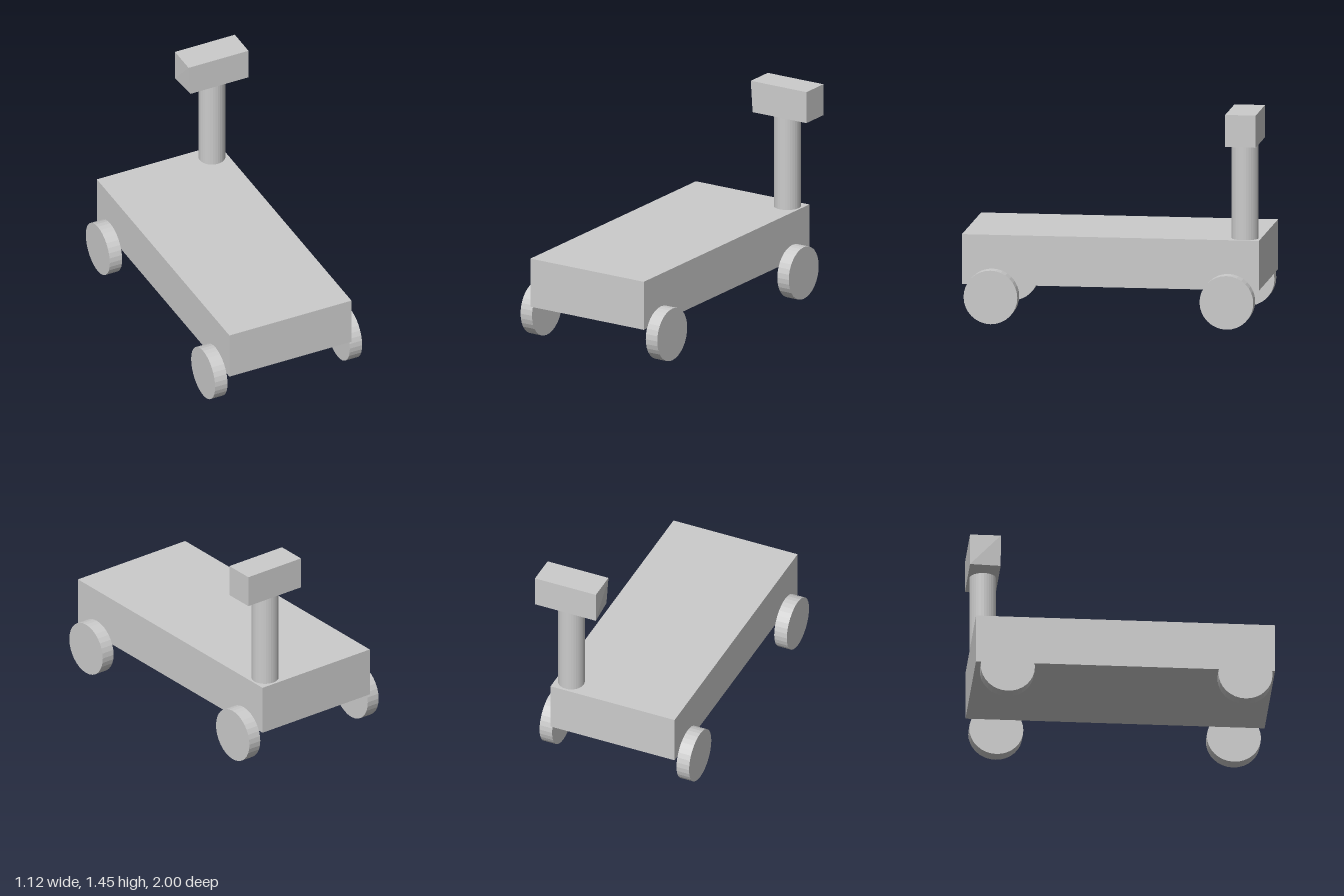
import * as THREE from 'three';

const material = new THREE.MeshStandardMaterial({ color: 0xcccccc, flatShading: true });

function addMesh(parent, name, geometry, x, y, z) {
  const mesh = new THREE.Mesh(geometry, material);
  mesh.name = name;
  mesh.position.set(x, y, z);
  parent.add(mesh);
  return mesh;
}

export function createModel() {
  const model = new THREE.Group();
  model.name = 'cart';

  // Long flat body
  addMesh(model, 'body', new THREE.BoxGeometry(0.907, 0.337, 2), -0.012, 0.424, 0);

  // Four wheels against the body sides
  const wheel = new THREE.CylinderGeometry(0.181, 0.181, 0.092, 32).rotateZ(Math.PI / 2);
  for (const [side, x] of [['left', 0.487], ['right', -0.514]]) {
    for (const [end, z] of [['Front', 0.795], ['Back', -0.794]]) {
      addMesh(model, side + end + 'Wheel', wheel, x, 0.184, z);
    }
  }

  // Upright post at the back left corner
  addMesh(model, 'post', new THREE.CylinderGeometry(0.09, 0.09, 0.65, 32), 0.337, 0.917, -0.893);

  // Head block, with its lower front right corner pulled in slightly
  const head = new THREE.BoxGeometry(0.445, 0.217, 0.206);
  const p = head.attributes.position;
  for (let i = 0; i < p.count; i++) {
    if (p.getX(i) < 0 && p.getY(i) < 0 && p.getZ(i) > 0) p.setX(i, p.getX(i) + 0.015);
  }
  head.computeVertexNormals();
  addMesh(model, 'head', head, 0.335, 1.349, -0.892);

  return model;
}
